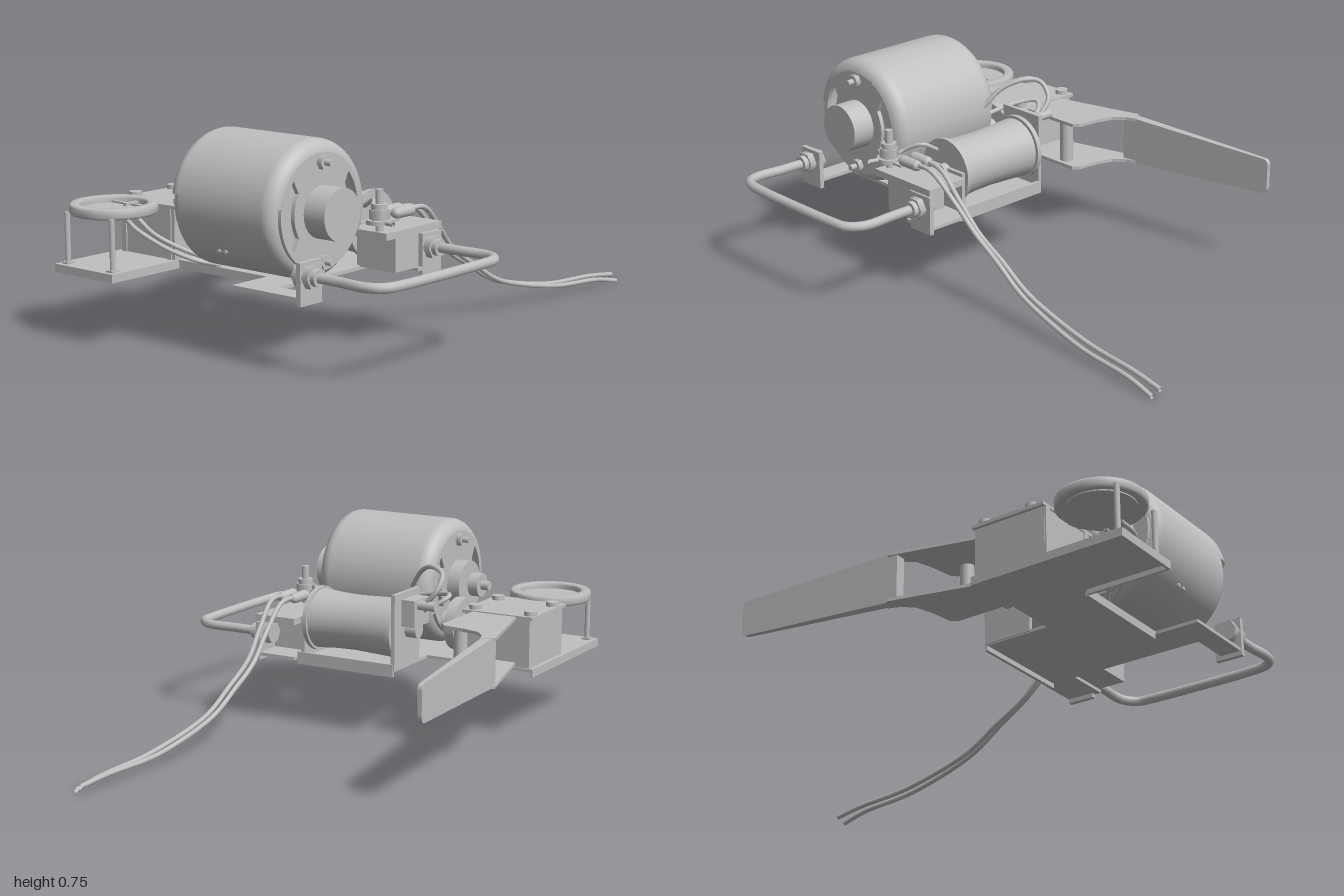
import * as THREE from 'three';

const metal = new THREE.MeshStandardMaterial({ color: 0xbfbfbf, side: THREE.DoubleSide });
metal.name = 'grey metal';

export function createModel() {
  const root = new THREE.Group();
  root.name = 'motorAssembly';

  const add = (name, geo, x = 0, y = 0, z = 0) => {
    const m = new THREE.Mesh(geo, metal);
    m.name = name;
    m.position.set(x, y, z);
    root.add(m);
    return m;
  };
  // box given by its extents
  const box = (name, x0, x1, y0, y1, z0, z1) =>
    add(name, new THREE.BoxGeometry(x1 - x0, y1 - y0, z1 - z0), (x0 + x1) / 2, (y0 + y1) / 2, (z0 + z1) / 2);
  // cylinder along x between x0 and x1, or along y between y0 and y1
  const rodX = (name, r, x0, x1, y, z, seg = 32) =>
    add(name, new THREE.CylinderGeometry(r, r, x1 - x0, seg).rotateZ(Math.PI / 2), (x0 + x1) / 2, y, z);
  const rodY = (name, r, y0, y1, x, z, seg = 24) =>
    add(name, new THREE.CylinderGeometry(r, r, y1 - y0, seg), x, (y0 + y1) / 2, z);
  // flat sheet drawn in x,z with its top at y
  const sheet = (name, pts, top, t, holes = []) => {
    const s = new THREE.Shape(pts.map(p => new THREE.Vector2(...p)));
    holes.forEach(([x, z, r]) => s.holes.push(new THREE.Path().absarc(x, z, r, 0, Math.PI * 2, true)));
    return add(name, new THREE.ExtrudeGeometry(s, { depth: t, bevelEnabled: false }).rotateX(Math.PI / 2), 0, top, 0);
  };
  const tube = (name, pts, r, seg = 48, tension = 0.5) => {
    const c = new THREE.CatmullRomCurve3(pts.map(p => new THREE.Vector3(...p)), false, 'catmullrom', tension);
    return add(name, new THREE.TubeGeometry(c, seg, r, 10), 0, 0, 0);
  };
  const latheX = (name, pts, seg, start, len, x, y, z) =>
    add(name, new THREE.LatheGeometry(pts.map(p => new THREE.Vector2(...p)), seg, start, len).rotateZ(-Math.PI / 2), x, y, z);

  // base plate with gearbox tray and two handle arms
  sheet('basePlate', [[-0.65, 1], [-0.36, 1], [-0.36, 0.68], [0.06, 0.68], [0.06, 0.85], [0.37, 0.85], [0.37, 0.77],
    [0.2, 0.77], [0.2, 0.25], [0.37, 0.25], [0.37, 0.12], [0.2, 0.12], [0.2, 0.15], [-0.21, 0.15], [-0.21, 0.41], [-0.65, 0.41]], 0.268, 0.012);
  box('trayFrontLip', -0.65, -0.36, 0.238, 0.268, 0.99, 1);
  box('traySideLip', -0.65, -0.64, 0.238, 0.268, 0.41, 1);
  box('trayInnerLip', -0.37, -0.36, 0.238, 0.268, 0.68, 1);
  box('backLip', -0.21, 0.2, 0.238, 0.285, 0.145, 0.157);
  box('frontLip', -0.36, 0.06, 0.238, 0.268, 0.67, 0.68);

  // motor
  const my = 0.51, mz = 0.635, half = 0.245, mx = 0.025;
  const profile = (R, c, w) => {
    const p = [];
    for (let i = 0; i <= 8; i++) {
      const a = (i / 8) * Math.PI / 2;
      p.push([R - c + c * Math.sin(a), -w + c - c * Math.cos(a)]);
    }
    return p.concat(p.slice().reverse().map(([r, x]) => [r, -x]));
  };
  latheX('motorBody', profile(0.234, 0.045, half - 0.012), 64, 0, Math.PI * 2, mx, my, mz);
  latheX('motorCover', profile(0.243, 0.055, half), 48, -3.6, 3.43, mx, my, mz);
  for (const s of [-1, 1]) {
    const plate = new THREE.Shape().absarc(0, 0, 0.2, 0, Math.PI * 2);
    for (const a of [0, Math.PI]) {
      const slot = new THREE.Path();
      slot.absarc(0, 0, 0.182, a - 0.72, a + 0.72, false);
      slot.absarc(0, 0, 0.135, a + 0.58, a - 0.58, true);
      slot.closePath();
      plate.holes.push(slot);
    }
    const face = mx + s * (half - 0.008);
    add('motorEndPlate', new THREE.ExtrudeGeometry(plate, { depth: 0.016, bevelEnabled: false, curveSegments: 32 }).rotateY(Math.PI / 2), face - 0.008, my, mz);
    rodX('motorInnerDisc', 0.2, mx + s * 0.18 - 0.005, mx + s * 0.18 + 0.005, my, mz, 48);
    for (const dy of [-0.168, 0.168]) {
      const e = mx + s * half;
      rodX('endBolt', 0.011, e - 0.025, e + 0.025, my + dy, mz, 12).position.x = e + s * 0.02;
      rodX('endNut', 0.026, e - 0.01, e + 0.01, my + dy, mz, 6).position.x = e + s * 0.01;
    }
  }
  rodX('bearingBossRight', 0.09, 0.25, 0.36, my, mz, 40);
  rodX('bearingBossLeft', 0.088, -0.27, -0.2, my, mz, 40);
  for (const x of [-0.02, 0.01]) {
    add('frontRivet', new THREE.CylinderGeometry(0.007, 0.007, 0.012, 12).rotateX(Math.PI / 2), x, 0.37, 0.825);
  }

  // friction drive
  rodX('motorShaft', 0.018, -0.355, -0.26, my, mz, 16);
  rodX('drivePulley', 0.045, -0.325, -0.285, my, mz);
  rodX('driveWheel', 0.1, -0.325, -0.285, 0.385, 0.5, 48);
  rodX('driveWheelHub', 0.04, -0.34, -0.24, 0.385, 0.5);
  rodX('driveWheelShaft', 0.018, -0.37, -0.24, 0.385, 0.5, 16);

  // gearbox
  box('gearbox', -0.632, -0.365, 0.268, 0.45, 0.415, 0.695);
  box('gearboxLid', -0.645, -0.355, 0.45, 0.462, 0.41, 0.7);
  for (const x of [-0.618, -0.392]) {
    for (const z of [0.448, 0.638]) rodY('lidScrew', 0.024, 0.46, 0.478, x, z);
    rodY('dialPost', 0.01, 0.265, 0.45, x, 0.965, 12);
    box('dialPostFoot', x - 0.016, x + 0.016, 0.265, 0.275, 0.95, 0.982);
    box('cornerStrip', x - 0.012, x + 0.012, 0.268, 0.45, 0.69, 0.7);
  }

  // round dial with a raised rim and notch
  add('dialRim', new THREE.LatheGeometry([[0.118, 0.45], [0.148, 0.442], [0.155, 0.45], [0.155, 0.472], [0.148, 0.48],
    [0.122, 0.48], [0.116, 0.472], [0.118, 0.45]].map(p => new THREE.Vector2(...p)), 48), -0.515, 0, 0.84);
  rodY('dialDisc', 0.12, 0.445, 0.457, -0.515, 0.84, 48);
  box('dialPointer', -0.523, -0.507, 0.455, 0.468, 0.73, 0.79);
  box('dialBar', -0.625, -0.405, 0.455, 0.464, 0.755, 0.767);

  // forked lever: two root sheets and an upright tapering blade
  const fork = [[-0.665, 0.07], [-0.575, 0.42], [-0.4, 0.42], [-0.4, 0.17], [-0.42, 0.15], [-0.5, 0.14], [-0.57, 0.12], [-0.605, 0.08], [-0.62, 0.04]];
  for (const y of [0.458, 0.285]) sheet('forkSheet', fork, y, 0.012, [[-0.44, 0.24, 0.025]]);
  rodY('forkPin', 0.025, 0.273, 0.458, -0.44, 0.24);
  const blade = new THREE.Shape();
  blade.moveTo(-0.1, 0.273);
  blade.lineTo(0.53, 0.297);
  blade.quadraticCurveTo(0.55, 0.3, 0.55, 0.33);
  blade.lineTo(0.55, 0.41);
  blade.quadraticCurveTo(0.55, 0.43, 0.53, 0.432);
  blade.lineTo(-0.1, 0.458);
  const bg = new THREE.ExtrudeGeometry(blade, { depth: 0.02, bevelEnabled: false }).rotateY(Math.PI / 2);
  const bp = bg.attributes.position;
  // lean the blade outwards and swell it towards the root
  for (let i = 0; i < bp.count; i++) {
    const z = bp.getZ(i), inner = bp.getX(i) > 0.01;
    bp.setX(i, -0.652 + (z - 0.1) * 0.09 + (inner ? 0.016 + Math.max(0, z + 0.55) * 0.035 : 0));
  }
  bg.computeVertexNormals();
  add('leverBlade', bg);

  // solenoid coil in its bracket
  latheX('coil', [[0.112, -0.175], [0.108, -0.1], [0.104, 0], [0.106, 0.08], [0.113, 0.165]], 40, 0, Math.PI * 2, -0.005, 0.4, 0.255);
  rodX('coilFlangeLeft', 0.122, -0.2, -0.182, 0.4, 0.255, 40);
  rodX('coilFlangeRight', 0.122, 0.155, 0.172, 0.4, 0.255, 40);
  rodX('coilCore', 0.03, -0.26, 0.2, 0.4, 0.255);
  box('coilBracket', -0.215, -0.2, 0.26, 0.545, 0.15, 0.34);
  box('coilArmature', -0.27, -0.215, 0.42, 0.52, 0.2, 0.31);
  rodX('armaturePin', 0.018, -0.34, -0.27, 0.5, 0.235, 12);
  box('coilRearBracket', 0.172, 0.187, 0.26, 0.42, 0.15, 0.34);

  // handle with tabs and nuts
  tube('handle', [[0.36, 0.335, 0.81], [0.5, 0.335, 0.812], [0.6, 0.335, 0.82], [0.66, 0.335, 0.795], [0.682, 0.335, 0.72],
    [0.687, 0.335, 0.5], [0.684, 0.335, 0.28], [0.67, 0.335, 0.215], [0.61, 0.335, 0.178], [0.5, 0.335, 0.18], [0.36, 0.335, 0.18]], 0.018, 80);
  for (const z of [0.18, 0.81]) {
    box('handleTab', 0.352, 0.37, 0.24, 0.385, z - 0.06, z + 0.045);
    rodX('innerNut', 0.042, 0.325, 0.352, 0.335, z, 6);
    rodX('outerNut', 0.042, 0.37, 0.396, 0.335, z, 6);
    rodX('handleCollar', 0.03, 0.396, 0.415, 0.335, z);
  }

  // terminal block with stud, ring lugs and crimps
  box('terminalBlock', 0.2, 0.36, 0.268, 0.4, 0.235, 0.36);
  box('terminalShelf', 0.2, 0.37, 0.39, 0.415, 0.12, 0.42);
  rodY('terminalStud', 0.014, 0.4, 0.56, 0.32, 0.397, 12);
  rodY('terminalWasher', 0.046, 0.44, 0.455, 0.32, 0.397);
  rodY('terminalNut', 0.036, 0.455, 0.49, 0.32, 0.397, 6);
  rodY('terminalCap', 0.028, 0.49, 0.51, 0.32, 0.397);
  for (const x of [0.272, 0.325]) {
    add('wireCrimp', new THREE.CapsuleGeometry(0.02, 0.07, 6, 12).rotateX(Math.PI / 2), x, 0.465, 0.275);
    box('ringLug', x - 0.014, x + 0.014, 0.44, 0.448, 0.31, 0.39);
  }

  // trailing supply wires
  tube('supplyWireA', [[0.272, 0.465, 0.28], [0.28, 0.46, 0.16], [0.282, 0.37, 0.06], [0.277, 0.27, -0.04], [0.278, 0.2, -0.16],
    [0.287, 0.115, -0.32], [0.308, 0.055, -0.6], [0.335, 0.045, -0.85], [0.352, 0.032, -0.99]], 0.009, 64);
  tube('supplyWireB', [[0.325, 0.465, 0.28], [0.325, 0.465, 0.16], [0.312, 0.38, 0.06], [0.3, 0.28, -0.04], [0.303, 0.205, -0.16],
    [0.315, 0.115, -0.32], [0.345, 0.052, -0.6], [0.365, 0.035, -0.85], [0.38, 0.012, -0.98]], 0.009, 64);

  // looped coil leads
  tube('coilLeadA', [[-0.29, 0.5, 0.235], [-0.34, 0.56, 0.24], [-0.34, 0.615, 0.28], [-0.28, 0.632, 0.31], [-0.21, 0.6, 0.36], [-0.15, 0.53, 0.4]], 0.009);
  tube('coilLeadB', [[-0.22, 0.45, 0.28], [-0.32, 0.5, 0.28], [-0.35, 0.53, 0.32], [-0.28, 0.52, 0.37], [-0.18, 0.5, 0.395]], 0.009);
  tube('coilLeadC', [[0.17, 0.47, 0.3], [0.23, 0.5, 0.32], [0.27, 0.47, 0.38], [0.32, 0.45, 0.4], [0.4, 0.45, 0.42]], 0.008);

  // dial leads running to the motor
  tube('dialLeadA', [[-0.43, 0.43, 0.86], [-0.36, 0.4, 0.87], [-0.29, 0.34, 0.81], [-0.24, 0.29, 0.72], [-0.17, 0.27, 0.66]], 0.008);
  tube('dialLeadB', [[-0.43, 0.42, 0.8], [-0.36, 0.38, 0.8], [-0.3, 0.34, 0.76], [-0.25, 0.3, 0.69], [-0.18, 0.275, 0.64]], 0.008);

  return root;
}
